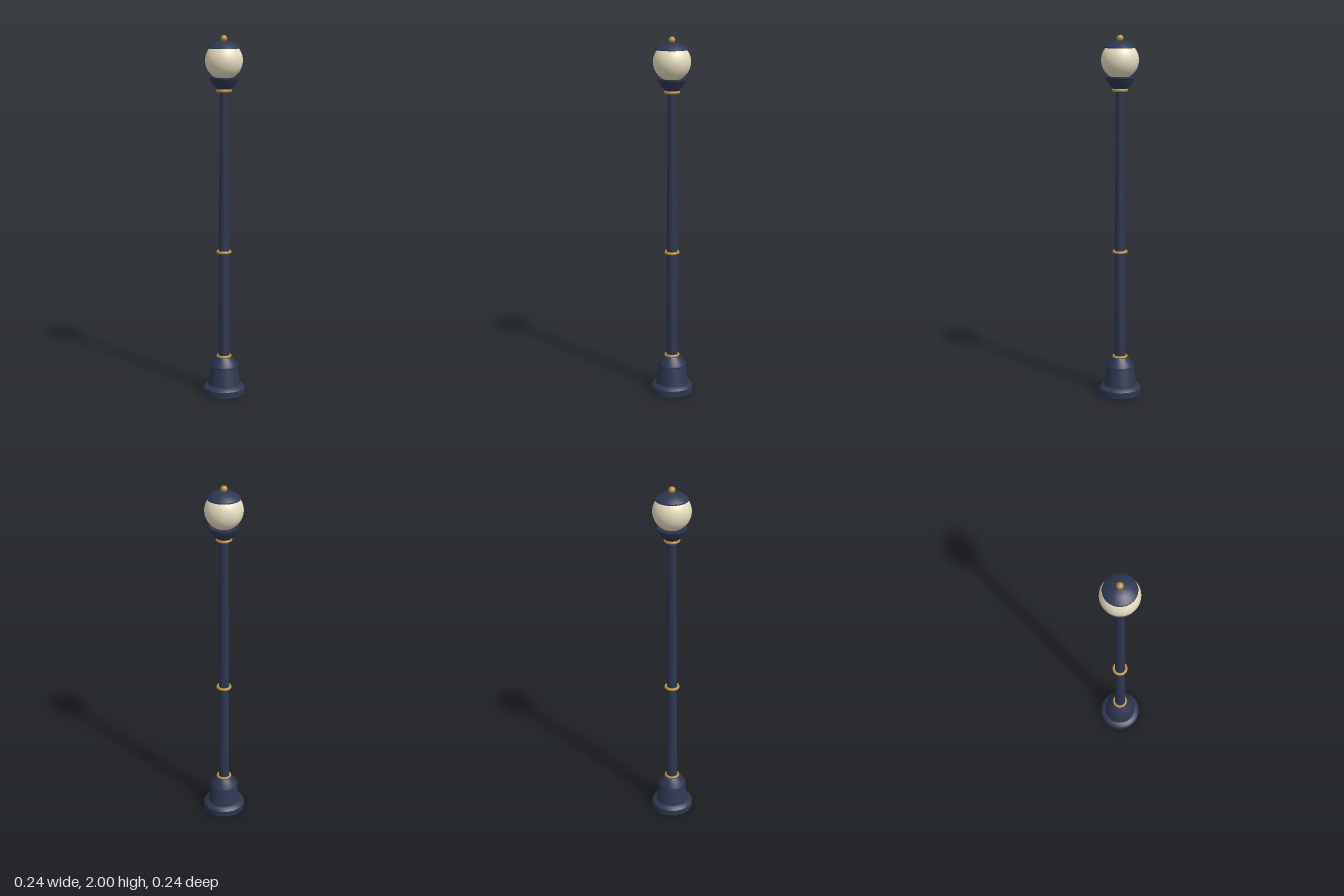
import * as THREE from 'three';
import { toCreasedNormals } from 'three/addons/utils/BufferGeometryUtils.js';

export function createModel() {
  const lamp = new THREE.Group();
  lamp.name = 'streetLamp';

  const material = (name, color) => {
    const m = new THREE.MeshStandardMaterial({ color });
    m.name = name;
    return m;
  };
  const navy = material('navyIron', 0x2e3650);
  const brass = material('brass', 0xb8903f);
  const glass = material('creamGlass', 0xe6dcc0);

  const add = (name, geometry, mat, y = 0) => {
    const mesh = new THREE.Mesh(geometry, mat);
    mesh.name = name;
    mesh.position.y = y;
    lamp.add(mesh);
    return mesh;
  };
  // Turned part from [radius, height] pairs, listed bottom to top
  const turned = (name, profile, mat, sides = 24) => {
    const points = profile.map(([r, y]) => new THREE.Vector2(r, y));
    add(name, toCreasedNormals(new THREE.LatheGeometry(points, sides), 0.5), mat);
  };
  const ring = (name, y, radius, tube) => {
    const g = new THREE.TorusGeometry(radius, tube, 10, 32);
    g.rotateX(Math.PI / 2);
    add(name, g, brass, y);
  };

  // Stepped pedestal
  turned('pedestal', [
    [0, 0], [0.118, 0], [0.118, 0.034], [0.104, 0.048], [0.092, 0.052],
    [0.074, 0.152], [0.08, 0.157], [0.078, 0.166], [0.045, 0.21], [0, 0.21],
  ], navy);

  // Tapering pole
  add('pole', new THREE.CylinderGeometry(0.024, 0.031, 1.51, 20), navy, 0.96);

  // Brass collars
  ring('lowerCollar', 0.215, 0.036, 0.007);
  ring('middleCollar', 0.815, 0.035, 0.008);
  ring('upperCollar', 1.705, 0.035, 0.009);

  // Cup holding the globe
  turned('globeCup', [
    [0, 1.705], [0.034, 1.708], [0.05, 1.724], [0.065, 1.744],
    [0.074, 1.762], [0.079, 1.768], [0.079, 1.778], [0.07, 1.778],
    [0.05, 1.766], [0, 1.764],
  ], navy, 32);

  // Glass globe
  add('globe', new THREE.SphereGeometry(0.102, 40, 28), glass, 1.866);

  // Domed cap and brass finial
  turned('cap', [
    [0, 1.93], [0.087, 1.93], [0.086, 1.936], [0.072, 1.948],
    [0.052, 1.96], [0.028, 1.968], [0, 1.972],
  ], navy, 32);
  add('finial', new THREE.SphereGeometry(0.018, 18, 14), brass, 1.982);

  return lamp;
}
